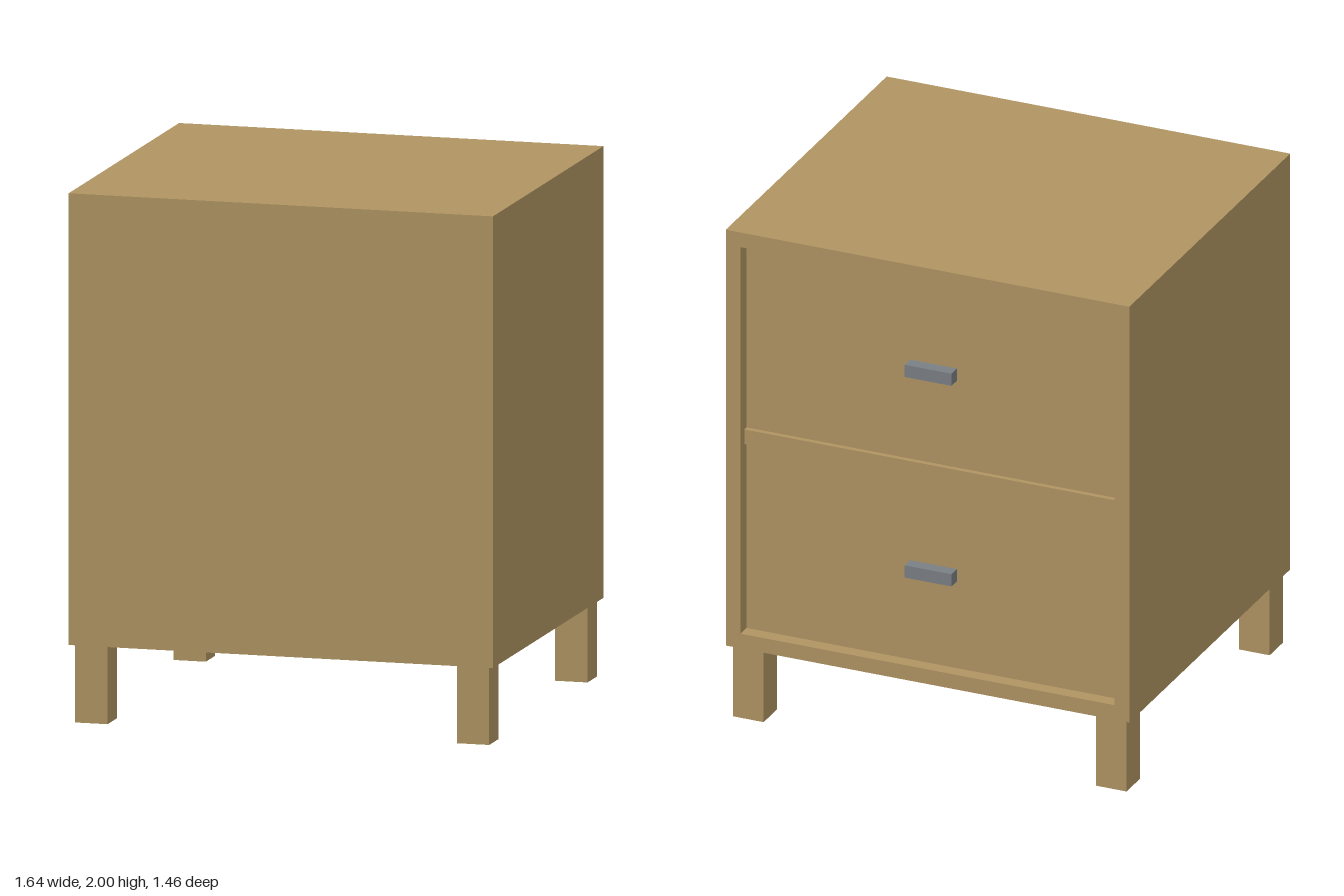
import * as THREE from 'three';

export function createModel() {
  const model = new THREE.Group();
  model.name = 'nightstand';
  const wood = new THREE.MeshStandardMaterial({ color: 0xb09462 });
  const metal = new THREE.MeshStandardMaterial({ color: 0x7a7f84 });

  // Box given by its extents on each axis
  function box(name, [x0, x1], [y0, y1], [z0, z1], material = wood, parent = model) {
    const mesh = new THREE.Mesh(new THREE.BoxGeometry(x1 - x0, y1 - y0, z1 - z0), material);
    mesh.position.set((x0 + x1) / 2, (y0 + y1) / 2, (z0 + z1) / 2);
    mesh.name = name;
    parent.add(mesh);
    return mesh;
  }

  const W = 0.82, D = 0.73, base = 0.295, top = 2, t = 0.06;
  const inner = W - t;          // half width of the opening
  const panel = D - 0.015;      // inner face of the thin closing panel
  const mid = (base + top) / 2;

  // Carcass: the drawers open towards -z, a thin panel closes +z
  box('topBoard', [-W, W], [top - t, top], [-D, panel]);
  box('leftSide', [inner, W], [base, top - t], [-D, panel]);
  box('rightSide', [-W, -inner], [base, top - t], [-D, panel]);
  box('bottomBoard', [-inner, inner], [base, base + t], [-D, panel - 0.04]);
  box('closingPanel', [-W, W], [base, top], [panel, D]);
  box('divider', [-inner, inner], [mid - t / 2, mid + t / 2], [-D + 0.035, panel - 0.04]);

  // Two recessed drawer fronts with bar handles
  const face = -D + 0.055;
  const drawers = [['lower', base + t, mid - t / 2], ['upper', mid + t / 2, top - t]];
  for (const [level, y0, y1] of drawers) {
    const drawer = new THREE.Group();
    drawer.name = level + 'Drawer';
    model.add(drawer);
    const c = (y0 + y1) / 2;
    box('drawerFront', [-inner, inner], [y0, y1], [face, face + 0.05], wood, drawer);
    box('handle', [-0.095, 0.095], [c - 0.025, c + 0.025], [face - 0.05, face], metal, drawer);
  }

  // Four square legs
  for (const sx of [-1, 1]) {
    for (const sz of [-1, 1]) {
      const leg = box('leg', [0.675, 0.8], [0, base], [0.588, 0.71]);
      leg.position.x *= sx;
      leg.position.z *= sz;
    }
  }
  return model;
}
